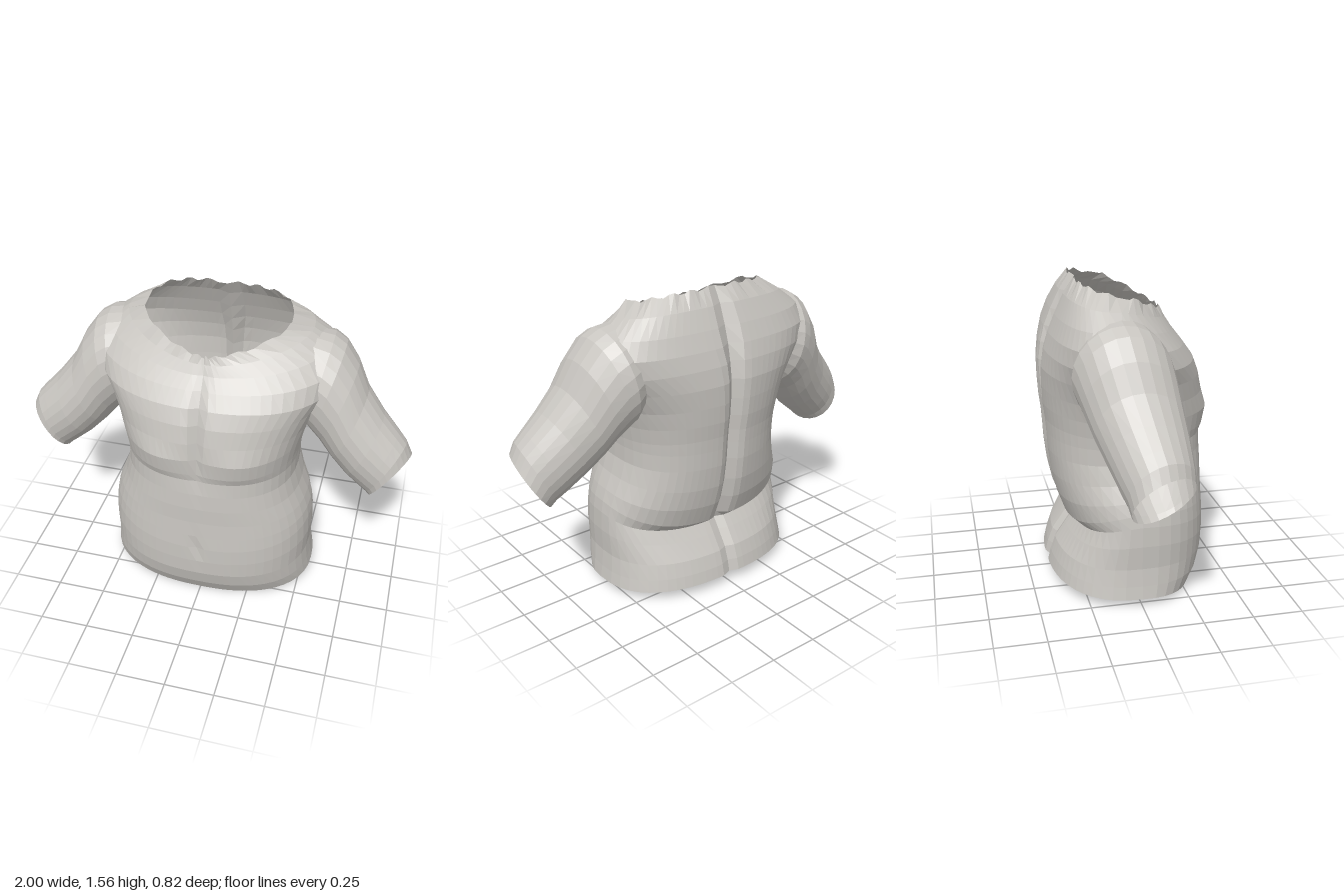
import * as THREE from 'three';

const skin = new THREE.MeshStandardMaterial({ color: 0xc8c5c0, flatShading: true, side: THREE.DoubleSide });
skin.name = 'pale grey';

// Skin a list of closed rings; skip(centre) leaves a hole
function loft(rings, flip, skip = () => false) {
  const pos = [];
  const push = (...pts) => pts.forEach(p => pos.push(p.x, p.y, p.z));
  for (let i = 0; i < rings.length - 1; i++) {
    const n = rings[i].length;
    for (let j = 0; j < n; j++) {
      const k = (j + 1) % n;
      const a = rings[i][j], b = rings[i][k], c = rings[i + 1][k], d = rings[i + 1][j];
      const mid = a.clone().add(b).add(c).add(d).multiplyScalar(0.25);
      if (skip(mid)) continue;
      if (flip) push(a, d, c, a, c, b);
      else push(a, b, c, a, c, d);
    }
  }
  const g = new THREE.BufferGeometry();
  g.setAttribute('position', new THREE.Float32BufferAttribute(pos, 3));
  g.computeVertexNormals();
  return g;
}

const bump = (v, centre, width) => Math.exp(-(((v - centre) / width) ** 2));

// Torso rows: half width, front z, back z, front y, side y, back y, side z
const rows = [
  [0.55, 0.33, -0.40, 0.00, 0.045, 0.06, 0],
  [0.54, 0.38, -0.385, 0.09, 0.11, 0.12, 0],
  [0.53, 0.405, -0.36, 0.18, 0.20, 0.19, 0],
  [0.535, 0.41, -0.305, 0.27, 0.32, 0.27, 0],
  [0.53, 0.41, -0.265, 0.36, 0.42, 0.325, 0],
  [0.52, 0.405, -0.31, 0.44, 0.48, 0.36, 0],
  [0.50, 0.40, -0.35, 0.53, 0.54, 0.47, 0],
  [0.465, 0.40, -0.375, 0.62, 0.62, 0.58, 0],
  [0.44, 0.395, -0.39, 0.71, 0.71, 0.70, 0],
  [0.44, 0.385, -0.395, 0.79, 0.79, 0.79, 0],
  [0.445, 0.39, -0.40, 0.83, 0.84, 0.86, 0],
  [0.46, 0.395, -0.41, 0.92, 0.92, 0.94, 0],
  [0.485, 0.39, -0.415, 1.01, 1.01, 1.03, -0.02],
  [0.53, 0.37, -0.415, 1.10, 1.11, 1.13, -0.06],
  [0.59, 0.335, -0.40, 1.18, 1.20, 1.22, -0.10],
  [0.61, 0.285, -0.375, 1.25, 1.30, 1.30, -0.11],
  [0.56, 0.24, -0.34, 1.31, 1.385, 1.385, -0.11],
  [0.46, 0.215, -0.295, 1.355, 1.455, 1.48, -0.09],
  [0.36, 0.20, -0.245, 1.39, 1.50, 1.555, -0.03],
];
const SEG = 64;

function torsoRing([w, zf, zb, yf, ys, yb, zc], i) {
  const top = Math.max(0, (i - 14) / 4);          // 0 on the body, 1 at the neck
  return Array.from({ length: SEG }, (_, j) => {
    const t = (j / SEG) * Math.PI * 2;
    const a = t + 0.25 * Math.sin(2 * t);         // finer columns near the centre line
    const c = Math.cos(a), s = Math.sin(a), front = s > 0;
    const n = front ? 2.4 - 0.9 * top : 2.5 + 0.6 * top;
    const x = w * Math.sign(c) * Math.abs(c) ** (2 / n);
    let z = zc + ((front ? zf : zb) - zc) * Math.abs(s) ** (2 / n);
    let y = ys + ((front ? yf : yb) - ys) * Math.abs(s) ** (front ? 1.5 : 1.5 - 0.6 * top);
    if (front) {
      z -= 0.03 * bump(x, 0, 0.03) * bump(y, 1.05, 0.22);               // breastbone groove
      z -= 0.01 * bump(x, 0, 0.03) * bump(y, 0.36, 0.06);               // navel
      z += 0.03 * bump(Math.abs(x), 0.22, 0.15) * bump(y, 0.89, 0.075); // chest
    } else if (i > 4) {
      z += 0.05 * bump(x, 0, 0.035) * (1 - 0.6 * top);                  // spine groove
    } else {
      z += 0.02 * bump(x, 0, 0.03);
    }
    if (i === rows.length - 1) y += 0.009 * Math.sin(j * 1.7);          // ragged neckline
    return new THREE.Vector3(x, y, z);
  });
}

// Arm rings: top x, top y, bottom x, bottom y, centre z, half depth, slant of the cut
const armRows = [
  [0.46, 1.435, 0.42, 0.98, -0.10, 0.205, 0],
  [0.56, 1.42, 0.455, 0.94, -0.10, 0.23, 0],
  [0.62, 1.385, 0.48, 0.915, -0.09, 0.228, 0],
  [0.69, 1.29, 0.53, 0.87, -0.075, 0.22, 0],
  [0.75, 1.165, 0.60, 0.79, -0.052, 0.208, 0],
  [0.84, 1.05, 0.68, 0.71, -0.03, 0.19, 0],
  [0.92, 0.965, 0.76, 0.645, -0.015, 0.17, 0.01],
  [0.965, 0.915, 0.80, 0.615, -0.005, 0.157, 0.02],
  [0.995, 0.85, 0.82, 0.595, 0.0, 0.15, 0.03],
];

function armGeometry(side) {
  const n = 24;
  const rings = armRows.map(([tx, ty, bx, by, zc, rz, slant]) =>
    Array.from({ length: n }, (_, j) => {
      const a = (j / n) * Math.PI * 2, c = Math.cos(a), s = Math.sin(a);
      return new THREE.Vector3(
        side * ((tx + bx) / 2 + ((tx - bx) / 2) * c - slant * s),
        (ty + by) / 2 + ((ty - by) / 2) * c + slant * s,
        zc + rz * s);
    }));
  return loft(rings, side < 0);
}

export function createModel() {
  const model = new THREE.Group();
  model.name = 'torso shell';
  const add = (name, geometry) => {
    const mesh = new THREE.Mesh(geometry, skin);
    mesh.name = name;
    model.add(mesh);
  };

  // Body, with holes where the arms join
  const inArm = p => Math.abs(p.x) > 0.46 &&
    ((p.y - 1.19) / 0.2) ** 2 + ((p.z + 0.1) / 0.18) ** 2 < 1;
  add('torso', loft(rows.map(torsoRing), true, inArm));

  // Short upper arms, open at the ends
  add('leftArm', armGeometry(1));
  add('rightArm', armGeometry(-1));
  return model;
}
